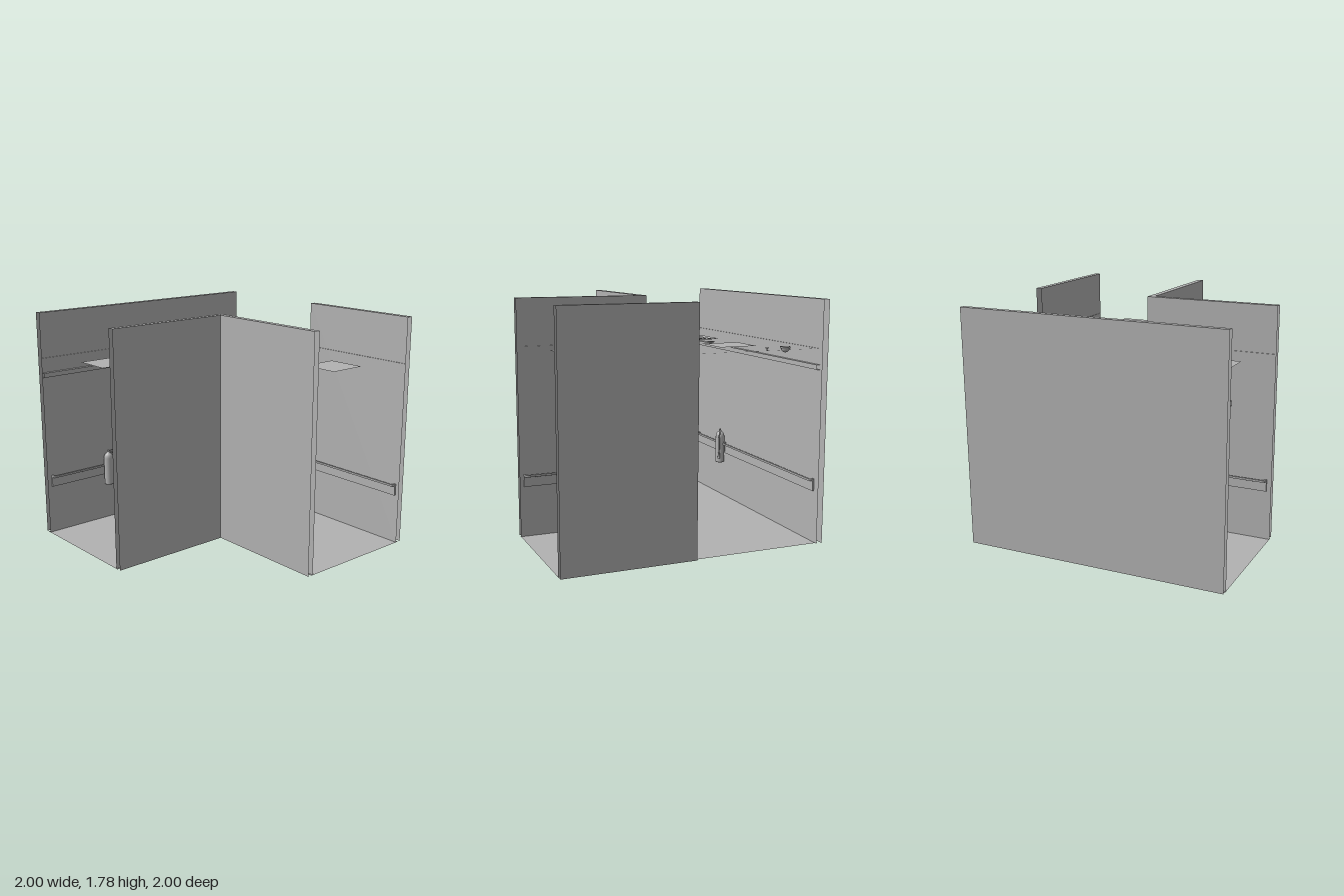
import * as THREE from 'three';

const grey = new THREE.MeshStandardMaterial({ color: 0xb2b2b2, side: THREE.DoubleSide });
grey.name = 'plainGrey';

const H = 1.78, CEIL = 1.43;

function add(parent, name, geometry, x = 0, y = 0, z = 0) {
  const mesh = new THREE.Mesh(geometry, grey);
  mesh.name = name;
  mesh.position.set(x, y, z);
  parent.add(mesh);
  return mesh;
}

// Open-ended sheet through matching cross-sections, flat shaded
function loft(sections) {
  const out = [];
  for (let i = 0; i < sections.length - 1; i++) {
    const a = sections[i], b = sections[i + 1];
    for (let j = 0; j < a.length - 1; j++) {
      out.push(...a[j], ...b[j], ...b[j + 1], ...a[j], ...b[j + 1], ...a[j + 1]);
    }
  }
  const g = new THREE.BufferGeometry();
  g.setAttribute('position', new THREE.Float32BufferAttribute(out, 3));
  g.computeVertexNormals();
  return g;
}

// Hollow wall: outer skin, top cap and inner skin; paths are [x, z] points
function wall(outer, inner) {
  return loft(outer.map(([x, z], i) => {
    const [u, w] = inner[i];
    return [[x, 0, z], [x, H, z], [u, H, w], [u, 0, w]];
  }));
}

// Horizontal ribbon between two [x, z] paths
function ribbon(a, b, y) {
  return loft(a.map(([x, z], i) => [[x, y, z], [b[i][0], y, b[i][1]]]));
}

function lathe(points, segments = 24) {
  return new THREE.LatheGeometry(points.map(([r, y]) => new THREE.Vector2(r, y)), segments);
}

// Handrail along local +x, standing out from the wall along local +z
function handrail(length) {
  const g = new THREE.Group();
  g.name = 'handrail';
  add(g, 'bumperPlate', new THREE.BoxGeometry(length, 0.08, 0.012), length / 2, 0.425, 0.008);
  const out = 0.046, r = 0.028, t = 0.016;
  const s = new THREE.Shape();
  s.moveTo(0, 0.002);
  s.lineTo(0, out - r);
  s.quadraticCurveTo(0, out, r, out);
  s.lineTo(length - r, out);
  s.quadraticCurveTo(length, out, length, out - r);
  s.lineTo(length, 0.002);
  s.lineTo(length - t, 0.002);
  s.lineTo(length - t, out - r);
  s.quadraticCurveTo(length - t, out - t, length - r, out - t);
  s.lineTo(r, out - t);
  s.quadraticCurveTo(t, out - t, t, out - r);
  s.lineTo(t, 0.002);
  s.closePath();
  const bar = new THREE.ExtrudeGeometry(s, {
    depth: 0.01, bevelEnabled: true, bevelThickness: 0.003, bevelSize: 0.003,
    bevelOffset: -0.003, bevelSegments: 2, curveSegments: 8,
  });
  bar.rotateX(Math.PI / 2);
  add(g, 'railBar', bar, 0, 0.475, 0);
  const count = Math.max(3, Math.round(length / 0.35));
  for (let i = 0; i < count; i++) {
    const x = 0.1 + (length - 0.2) * i / (count - 1);
    add(g, 'railBracket', new THREE.BoxGeometry(0.012, 0.008, 0.03), x, 0.462, 0.021);
  }
  return g;
}

function sprinkler(x, z) {
  const g = new THREE.Group();
  g.name = 'sprinkler';
  add(g, 'sprinklerPlate', new THREE.CylinderGeometry(0.013, 0.013, 0.004, 16), 0, 0, 0);
  add(g, 'sprinklerStem', new THREE.CylinderGeometry(0.004, 0.003, 0.016, 10), 0, -0.008, 0);
  add(g, 'sprinklerDeflector', new THREE.CylinderGeometry(0.007, 0.007, 0.002, 12), 0, -0.017, 0);
  g.position.set(x, CEIL, z);
  return g;
}

function extinguisher() {
  const g = new THREE.Group();
  g.name = 'fireExtinguisher';
  add(g, 'tank', lathe([[0, 0.31], [0.035, 0.31], [0.037, 0.316], [0.037, 0.535], [0.034, 0.555],
    [0.026, 0.57], [0.012, 0.578], [0.01, 0.588], [0, 0.588]], 28));
  add(g, 'valve', new THREE.CylinderGeometry(0.007, 0.009, 0.018, 12), 0, 0.592, 0);
  const lever = add(g, 'lever', new THREE.BoxGeometry(0.008, 0.005, 0.05), 0.006, 0.598, -0.02);
  lever.rotation.set(0.2, -0.4, 0);
  const hose = new THREE.CatmullRomCurve3([
    [0, 0.585, 0], [0.018, 0.58, -0.03], [0.032, 0.54, -0.05], [0.034, 0.45, -0.052], [0.034, 0.39, -0.05],
  ].map((p) => new THREE.Vector3(...p)));
  add(g, 'hose', new THREE.TubeGeometry(hose, 24, 0.006, 8));
  add(g, 'nozzle', new THREE.CylinderGeometry(0.007, 0.012, 0.05, 12), 0.034, 0.375, -0.05);
  add(g, 'wallHook', new THREE.BoxGeometry(0.02, 0.08, 0.03), -0.042, 0.44, 0);
  g.position.set(-0.9, 0, 0.455);
  return g;
}

export function createModel() {
  const model = new THREE.Group();
  model.name = 'corridorCorner';

  // L-shaped floor
  const floor = new THREE.Shape([[-0.98, -1], [-0.98, 0.98], [1, 0.98], [1, 0], [0, 0], [0, -1]]
    .map(([x, y]) => new THREE.Vector2(x, y)));
  add(model, 'floor', new THREE.ShapeGeometry(floor).rotateX(-Math.PI / 2));

  // Walls
  add(model, 'longWall', wall([[-1, 1], [-1, -1]], [[-0.955, 1], [-0.955, -1]]));
  add(model, 'backWall', wall([[0.01, -1], [1, -1]], [[0.01, -0.955], [1, -0.955]]));
  add(model, 'cornerWall', wall([[0.03, 1], [0.03, 0.03], [1, 0.03]],
    [[-0.015, 1], [-0.015, -0.015], [1, -0.015]]));

  // Narrow ceiling edge
  const e = 0.007;
  add(model, 'ceilingEdge', ribbon([[-0.955, 1], [-0.955, -0.955], [1, -0.955]],
    [[-0.955 + e, 1], [-0.955 + e, -0.955 + e], [1, -0.955 + e]], CEIL));
  add(model, 'ceilingEdge', ribbon([[-0.015, 1], [-0.015, -0.015], [1, -0.015]],
    [[-0.015 - e, 1], [-0.015 - e, -0.015 - e], [1, -0.015 - e]], CEIL));

  // Open-ended cable duct on the long wall
  add(model, 'cableDuct', loft([1, -0.975].map((z) => [[-0.955, 1.28, z], [-0.928, 1.28, z],
    [-0.928, 1.315, z], [-0.955, 1.315, z]])));

  // Handrails: length, x, z, turn
  for (const [length, x, z, turn] of [
    [1.91, -0.955, 0.965, Math.PI / 2],
    [0.92, -0.015, 0.045, -Math.PI / 2],
    [0.91, 0.06, -0.955, 0],
    [0.96, 0.97, -0.015, Math.PI],
  ]) {
    const rail = handrail(length);
    rail.position.set(x, 0, z);
    rail.rotation.y = turn;
    model.add(rail);
  }

  // Flat ceiling lights
  for (const [x, z] of [[-0.482, -0.483], [0.702, -0.483], [-0.482, 0.702]]) {
    add(model, 'ceilingLight', new THREE.PlaneGeometry(0.295, 0.295).rotateX(-Math.PI / 2), x, CEIL, z);
  }

  // Square air diffuser with nested sloping louvres
  const vent = new THREE.Group();
  vent.name = 'airDiffuser';
  const square = (top, bottom, h) =>
    new THREE.CylinderGeometry(top * Math.SQRT2, bottom * Math.SQRT2, h, 4, 1, true)
      .rotateY(Math.PI / 4).toNonIndexed();
  const addRing = (name, top, bottom, h, y) => {
    const g = square(top, bottom, h);
    g.computeVertexNormals();
    add(vent, name, g, 0, y, 0);
  };
  addRing('ventFrame', 0.143, 0.132, 0.003, 0.001);
  for (let i = 0; i < 4; i++) {
    const half = 0.133 - i * 0.028;
    addRing('ventLouvre', half, half - 0.03, 0.007, -0.003 - i * 0.001);
  }
  add(vent, 'ventCentre', new THREE.BoxGeometry(0.05, 0.002, 0.05), 0, -0.01, 0);
  vent.position.set(-0.482, CEIL, 0.11);
  model.add(vent);

  // Dome camera
  const dome = [[0.037, 0.005], [0.037, -0.008], [0.03, -0.01]];
  for (let i = 1; i <= 8; i++) {
    const a = i / 8 * Math.PI / 2;
    dome.push([0.03 * Math.cos(a), -0.01 - 0.028 * Math.sin(a)]);
  }
  add(model, 'domeCamera', lathe(dome), -0.78, CEIL, -0.78);

  // Ceiling speaker and smoke detector
  add(model, 'smokeDetector', new THREE.CylinderGeometry(0.053, 0.035, 0.014, 32), 0.505, CEIL - 0.007, -0.185);
  add(model, 'ceilingSpeaker', new THREE.CylinderGeometry(0.027, 0.024, 0.008, 24), -0.482, CEIL - 0.004, -0.185);

  model.add(sprinkler(-0.63, -0.78), sprinkler(0.505, -0.285), extinguisher());
  return model;
}
